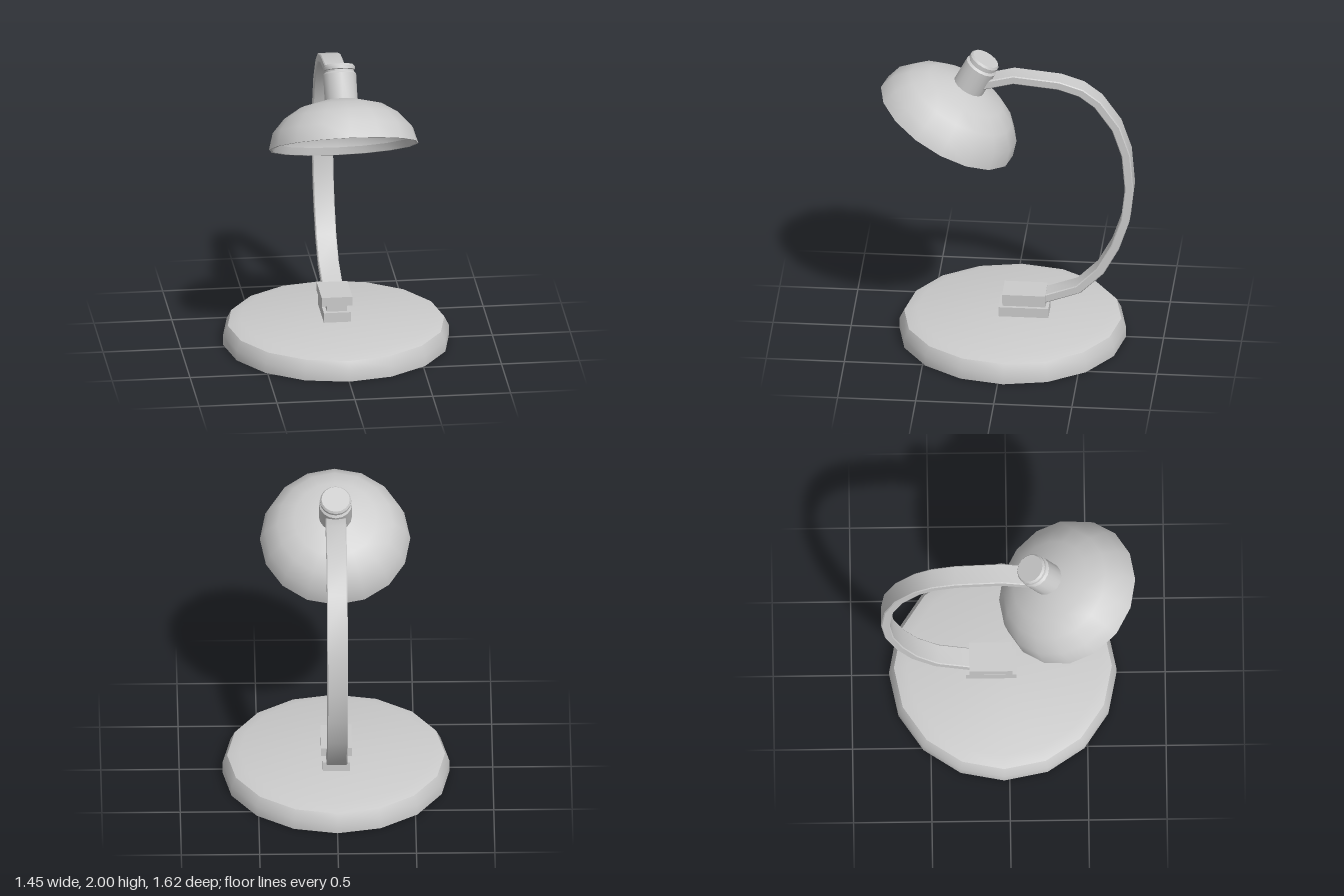
import * as THREE from 'three';
import { toCreasedNormals } from 'three/addons/utils/BufferGeometryUtils.js';

const SIDES = 16;
const material = new THREE.MeshStandardMaterial({ color: 0xcccccc, side: THREE.DoubleSide });

function addMesh(parent, name, geometry) {
  const mesh = new THREE.Mesh(geometry, material);
  mesh.name = name;
  parent.add(mesh);
  return mesh;
}

// Turned part from [radius, height] pairs, with sharp edges kept
function turned(parent, name, profile, crease = 0.6) {
  const points = profile.map(([r, y]) => new THREE.Vector2(r, y));
  return addMesh(parent, name, toCreasedNormals(new THREE.LatheGeometry(points, SIDES), crease));
}

// Block from its width, bottom, top, back and front
function block(parent, name, width, y0, y1, z0, z1) {
  const mesh = addMesh(parent, name, new THREE.BoxGeometry(width, y1 - y0, z1 - z0));
  mesh.position.set(0, (y0 + y1) / 2, (z0 + z1) / 2);
}

// Flat strip of even thickness following a path in the z-y plane
function stripGeometry(path, thickness, width, bevel) {
  const pts = path.map(([z, y]) => new THREE.Vector2(z, y));
  const upper = [], lower = [];
  pts.forEach((p, i) => {
    const before = pts[Math.max(i - 1, 0)];
    const after = pts[Math.min(i + 1, pts.length - 1)];
    const dir = after.clone().sub(before).normalize();
    const normal = new THREE.Vector2(-dir.y, dir.x).multiplyScalar(thickness / 2 - bevel);
    upper.push(p.clone().add(normal));
    lower.unshift(p.clone().sub(normal));
  });
  const geometry = new THREE.ExtrudeGeometry(new THREE.Shape([...upper, ...lower]), {
    depth: width - 2 * bevel, bevelEnabled: true, bevelSize: bevel, bevelThickness: bevel, bevelSegments: 1,
  });
  geometry.translate(0, 0, bevel - width / 2);
  geometry.rotateY(-Math.PI / 2);
  return toCreasedNormals(geometry, 0.6);
}

export function createModel() {
  const lamp = new THREE.Group();
  lamp.name = 'deskLamp';

  // Hollow round base, open underneath
  const base = turned(lamp, 'base', [
    [0.725, 0], [0.725, 0.07], [0.695, 0.13], [0.615, 0.155], [0, 0.155],
  ], 0.75);
  base.position.z = -0.035;

  // Stacked mounting blocks
  block(lamp, 'lowerMount', 0.175, 0.155, 0.22, -0.27, 0.05);
  block(lamp, 'mountNeck', 0.13, 0.22, 0.255, -0.25, 0.025);
  block(lamp, 'upperMount', 0.197, 0.255, 0.315, -0.25, 0.025);

  // Curved arm
  const armPath = [
    [-0.2, 0.268], [-0.265, 0.287], [-0.46, 0.357], [-0.6, 0.495], [-0.695, 0.67],
    [-0.76, 0.865], [-0.785, 1.088], [-0.764, 1.33], [-0.7, 1.52], [-0.583, 1.687],
    [-0.477, 1.767], [-0.334, 1.814], [-0.042, 1.843], [0.127, 1.8], [0.17, 1.788],
  ];
  addMesh(lamp, 'arm', stripGeometry(armPath, 0.056, 0.132, 0.006));

  // Tilted head, with its origin at the centre of the shade's rim
  const head = new THREE.Group();
  head.name = 'head';
  head.position.set(0, 1.496, 0.387);
  head.rotation.x = -0.495;
  lamp.add(head);

  turned(head, 'shade', [
    [0.48, 0], [0.45, 0.105], [0.37, 0.194], [0.265, 0.259], [0.1, 0.3], [0, 0.305],
  ], 0.8);

  // Inner shell with its sloping lip
  turned(head, 'shadeLip', [[0.44, 0.045], [0.465, 0], [0.48, 0]]);
  turned(head, 'shadeInside', [
    [0, 0.28], [0.1, 0.275], [0.25, 0.235], [0.35, 0.175], [0.425, 0.095], [0.44, 0.045],
  ], 0.8);

  // Socket with a grooved cap
  turned(head, 'socket', [
    [0.106, 0.27], [0.106, 0.465], [0.092, 0.478], [0.092, 0.488],
    [0.1, 0.492], [0.1, 0.51], [0.09, 0.524], [0, 0.524],
  ]);

  return lamp;
}
